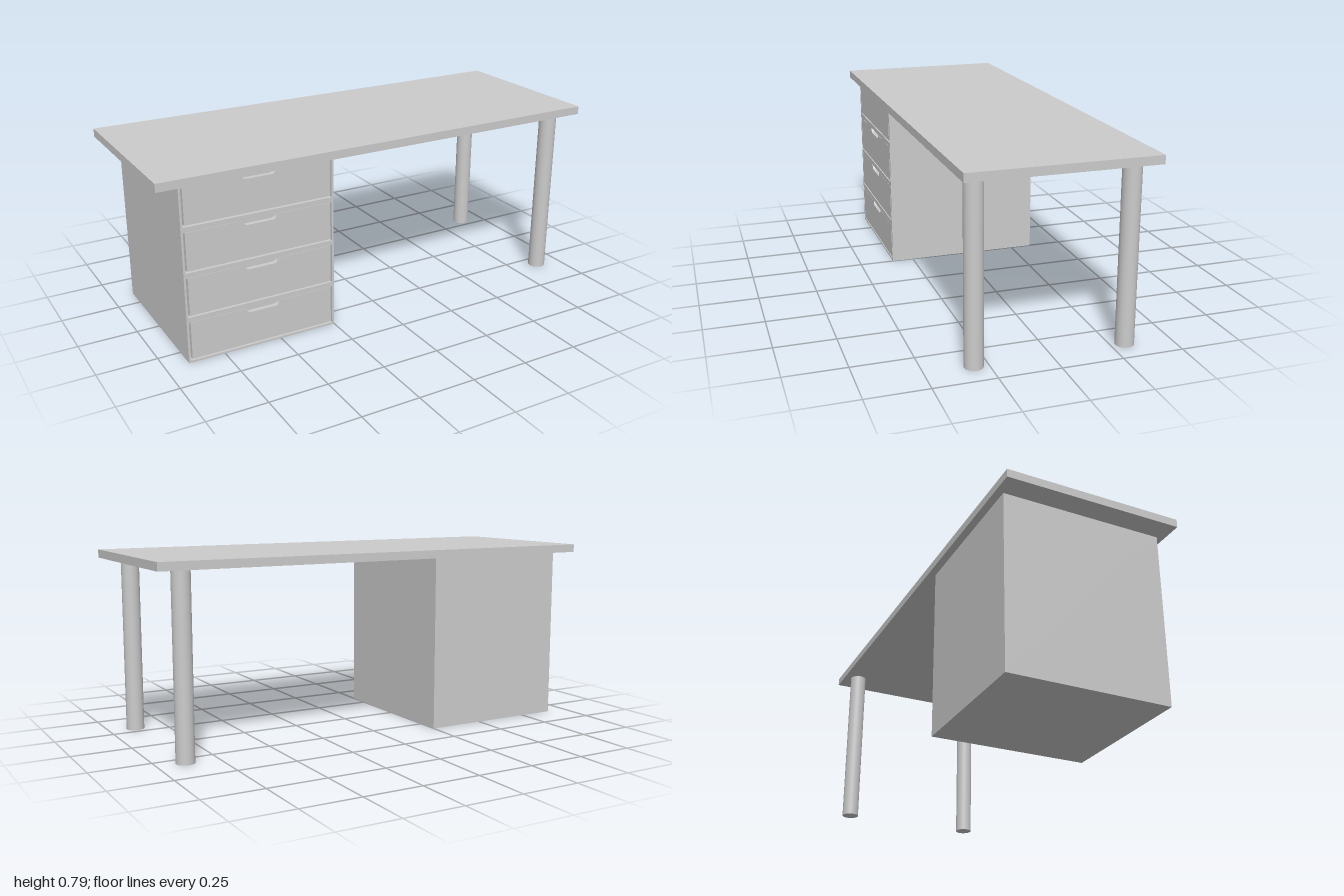
import * as THREE from 'three';

const material = new THREE.MeshStandardMaterial({ color: 0xcccccc });

function add(parent, name, geometry, x = 0, y = 0, z = 0) {
  const mesh = new THREE.Mesh(geometry, material);
  mesh.name = name;
  mesh.position.set(x, y, z);
  parent.add(mesh);
  return mesh;
}

// Closed rectangle as a list of points
function rectPoints(x0, y0, x1, y1) {
  return [[x0, y0], [x1, y0], [x1, y1], [x0, y1]].map(([x, y]) => new THREE.Vector2(x, y));
}

// Drawer front with a rounded finger notch in its top edge, centred on x = 0
function drawerShape(width, height) {
  const w = width / 2, s = new THREE.Shape();
  s.moveTo(-w, 0);
  s.lineTo(w, 0);
  s.lineTo(w, height);
  s.lineTo(0.077, height);
  s.quadraticCurveTo(0.07, height - 0.021, 0.055, height - 0.021);
  s.lineTo(-0.055, height - 0.021);
  s.quadraticCurveTo(-0.07, height - 0.021, -0.077, height);
  s.lineTo(-w, height);
  s.closePath();
  return s;
}

export function createModel() {
  const desk = new THREE.Group();
  desk.name = 'desk';

  // Tabletop
  const under = 0.75, thick = 0.035;
  add(desk, 'tabletop', new THREE.BoxGeometry(2, thick, 0.758), 0, under + thick / 2, 0);

  // Round legs on the open side
  for (const [name, z] of [['frontLeg', 0.308], ['backLeg', -0.308]]) {
    add(desk, name, new THREE.CylinderGeometry(0.038, 0.038, under, 24), 0.885, under / 2, z);
  }

  // Drawer cabinet: solid body plus a front frame with four openings
  const cabinet = new THREE.Group();
  cabinet.name = 'drawerCabinet';
  cabinet.position.x = -0.577;
  desk.add(cabinet);
  const halfW = 0.327, front = 0.347, recess = 0.02;
  const bodyDepth = 2 * front - recess;
  add(cabinet, 'cabinetBody', new THREE.BoxGeometry(2 * halfW, under, bodyDepth), 0, under / 2, -recess / 2);

  const frame = new THREE.Shape(rectPoints(-halfW, 0, halfW, under));
  const openW = 0.636, openH = 0.169, pitch = 0.19, gap = 0.007;
  for (let i = 0; i < 4; i++) {
    const y = 0.009 + i * pitch;
    frame.holes.push(new THREE.Path(rectPoints(-openW / 2, y, openW / 2, y + openH).reverse()));
    // Drawer front, flush with the frame
    const geometry = new THREE.ExtrudeGeometry(drawerShape(openW - 2 * gap, openH - gap - 0.001),
      { depth: recess, bevelEnabled: false, curveSegments: 6 });
    add(cabinet, 'drawerFront' + (i + 1), geometry, 0, y + gap, front - recess);
  }
  add(cabinet, 'cabinetFrame',
    new THREE.ExtrudeGeometry(frame, { depth: recess, bevelEnabled: false }), 0, 0, front - recess);

  return desk;
}
